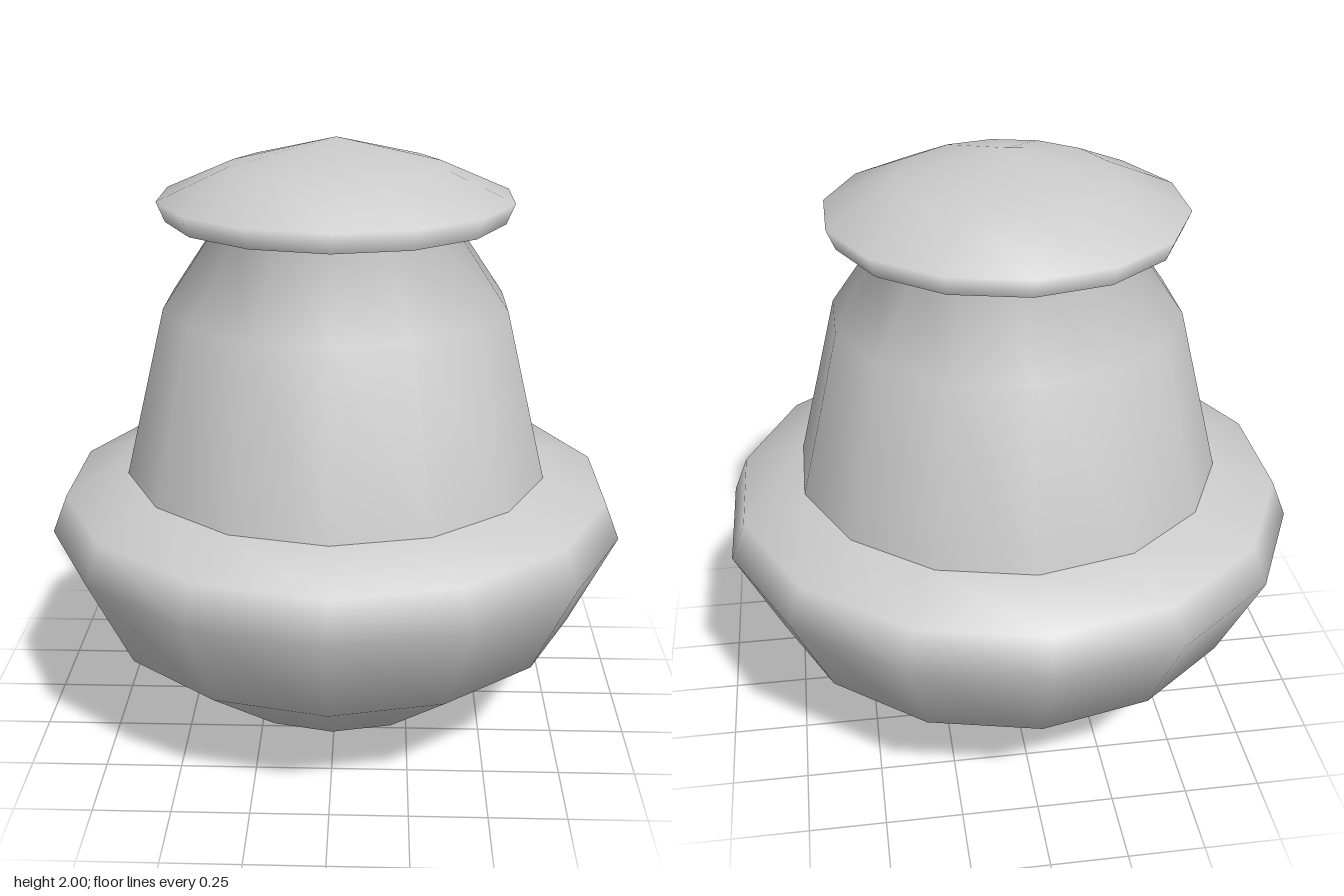
import * as THREE from 'three';

const SIDES = 14;
const material = new THREE.MeshStandardMaterial({ color: 0xcccccc });

// Low-poly smooth turned part; profile runs bottom to top as [radius, height]
function turned(name, profile) {
  const geometry = new THREE.LatheGeometry(
    profile.map(([r, y]) => new THREE.Vector2(r, y)), SIDES);
  // Round the shading over the poles
  const { position, normal } = geometry.attributes;
  for (let i = 0; i < position.count; i++) {
    if (Math.hypot(position.getX(i), position.getZ(i)) < 1e-4) {
      normal.setXYZ(i, 0, position.getY(i) > 1 ? 1 : -1, 0);
    }
  }
  const mesh = new THREE.Mesh(geometry, material);
  mesh.name = name;
  return mesh;
}

export function createModel() {
  const group = new THREE.Group();
  group.name = 'cappedPot';
  group.add(
    // Bulging bowl with a pointed bottom and a sloping shoulder
    turned('bowl', [[0, 0], [0.45, 0.11], [0.815, 0.4], [0.965, 0.72], [0.915, 0.845], [0.706, 0.912]]),
    // Tapering bell that flows into the underside of the cap
    turned('bell', [[0.706, 0.912], [0.567, 1.47], [0.375, 1.75], [0.548, 1.75]]),
    // Shallow pointed cap
    turned('cap', [[0.548, 1.75], [0.575, 1.815], [0.345, 1.915], [0, 2]]),
  );
  return group;
}
